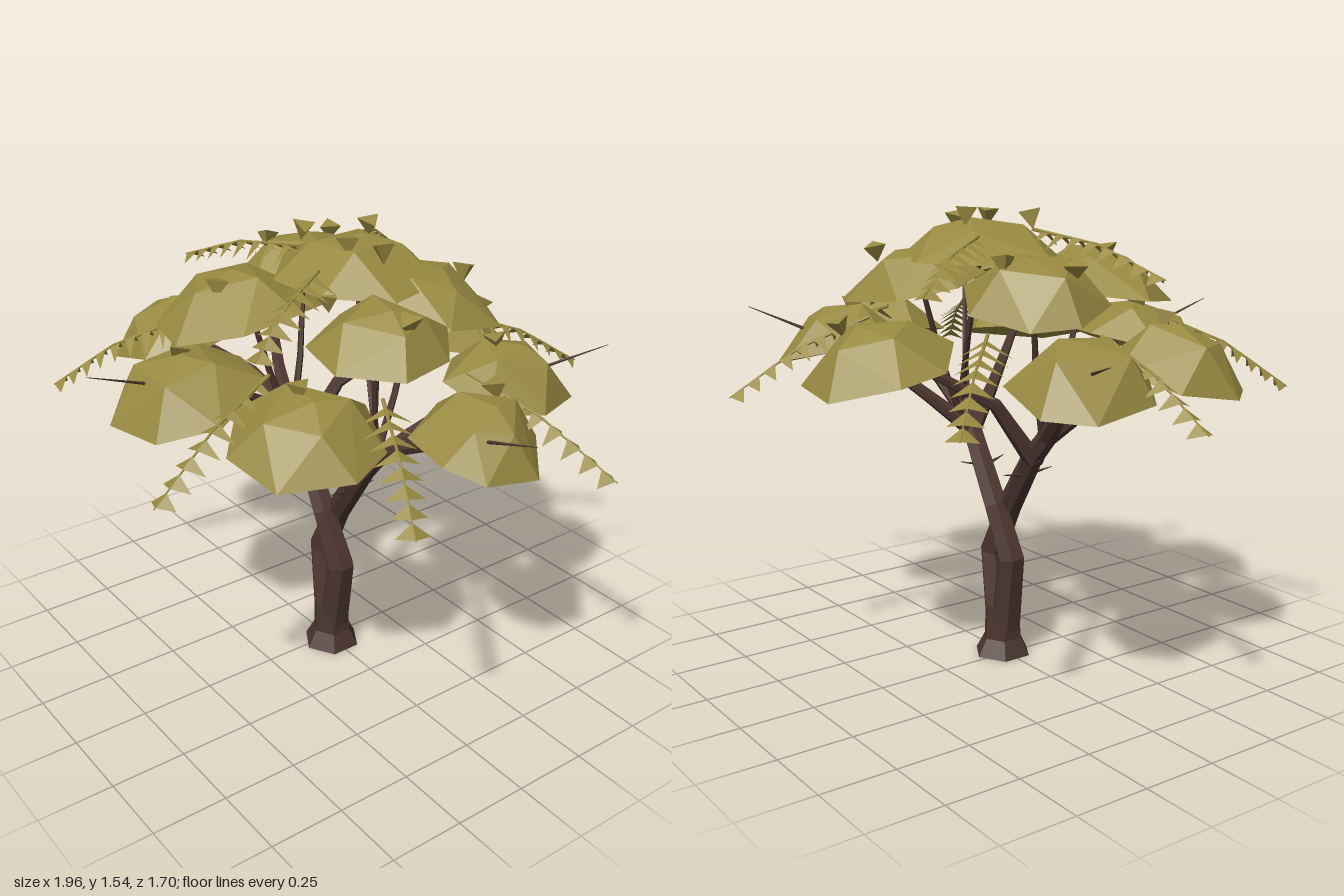
import * as THREE from 'three';
import { ConvexGeometry } from 'three/addons/geometries/ConvexGeometry.js';

const V = (x, y, z) => new THREE.Vector3(x, y, z);
const UP = V(0, 1, 0);

// Small seeded generator for irregular leaf clumps
let seed = 7;
const rand = () => (seed = (seed * 16807) % 2147483647) / 2147483647;

// Hexagonal limb with one straight piece between each pair of points, tapering from r0 to r1
function limbGeometry(points, r0, r1) {
  const curve = new THREE.CatmullRomCurve3(points.map(p => V(...p)), false, 'centripetal');
  curve.getUtoTmapping = u => u; // rings fall exactly on the points
  const segments = points.length - 1;
  const geo = new THREE.TubeGeometry(curve, segments, 1, 6, false);
  const pos = geo.attributes.position, v = new THREE.Vector3();
  for (let i = 0; i < pos.count; i++) {
    const t = Math.floor(i / 7) / segments;
    const c = curve.getPoint(t);
    v.fromBufferAttribute(pos, i).sub(c).multiplyScalar(r0 + (r1 - r0) * t).add(c);
    pos.setXYZ(i, v.x, v.y, v.z);
  }
  return geo;
}

// Faceted dome with a nearly flat underside
function domeGeometry(rx, rz, h) {
  const pts = [V(0.1 * rx, h, -0.08 * rz)];
  const ring = (n, r, y, wobble, lift) => {
    const start = rand() * 6.28;
    for (let i = 0; i < n; i++) {
      const a = start + (i + (rand() - 0.5) * 0.35) / n * Math.PI * 2;
      const k = r * (1 + (rand() - 0.5) * wobble);
      pts.push(V(Math.cos(a) * rx * k, y + (rand() - 0.5) * lift, Math.sin(a) * rz * k));
    }
  };
  ring(7, 1.07, 0, 0.08, 0.03);
  ring(4, 0.58, h * 0.82, 0.15, 0.02);
  return new ConvexGeometry(pts);
}

// Leaflet pairs along a drooping rib: long and slim inside, short and broad at the tip
function leafletGeometry(curve, count) {
  const verts = [];
  for (let i = 0; i < count; i++) {
    const t = 0.1 + 0.84 * i / (count - 1);
    const p = curve.getPointAt(t), d = curve.getTangentAt(t);
    const side = V().crossVectors(d, UP).normalize();
    const length = 0.1 - 0.045 * t, half = 0.014 + 0.014 * t;
    for (const s of [-1, 1]) {
      const a = p.clone().addScaledVector(d, -half);
      const b = p.clone().addScaledVector(d, half);
      const tip = p.clone().addScaledVector(side, s * length * 0.85).addScaledVector(d, -0.012);
      tip.y -= length * 0.55;
      verts.push(...a.toArray(), ...b.toArray(), ...tip.toArray());
    }
  }
  const geo = new THREE.BufferGeometry();
  geo.setAttribute('position', new THREE.Float32BufferAttribute(verts, 3));
  geo.computeVertexNormals();
  return geo;
}

export function createModel() {
  seed = 7;
  const tree = new THREE.Group();
  tree.name = 'tree';
  const bark = new THREE.MeshStandardMaterial({ color: 0x4b352e, flatShading: true, side: THREE.DoubleSide });
  bark.name = 'bark';
  const leaf = new THREE.MeshStandardMaterial({ color: 0x988a41, flatShading: true, side: THREE.DoubleSide });
  leaf.name = 'leaf';
  const add = (name, geo, mat) => {
    const m = new THREE.Mesh(geo, mat);
    m.name = name;
    tree.add(m);
    return m;
  };

  // Flared foot
  const foot = [[0, 0], [0.1, 0], [0.068, 0.06], [0.064, 0.18], [0, 0.18]];
  add('trunkFoot', new THREE.LatheGeometry(foot.map(p => new THREE.Vector2(...p)), 6), bark).position.x = 0.022;

  // Two stems that part, cross and fork
  add('rightwardStem', limbGeometry([[0.005, 0.1, 0], [-0.042, 0.36, -0.01], [0.03, 0.53, -0.022],
    [0.2, 0.76, 0], [0.28, 0.85, 0]], 0.054, 0.03), bark);
  add('leftwardStem', limbGeometry([[0.035, 0.1, 0], [0.09, 0.35, 0.01], [0.01, 0.53, 0.022],
    [-0.15, 0.74, 0], [-0.25, 0.84, 0]], 0.054, 0.03), bark);

  // Boughs: start, bend, end
  const boughs = [
    [[-0.22, 0.81, 0], [-0.36, 0.93, 0.06], [-0.52, 1.04, 0.2]],
    [[-0.22, 0.81, 0], [-0.36, 0.93, -0.05], [-0.55, 1.04, -0.15]],
    [[-0.15, 0.72, 0], [-0.14, 0.9, 0.12], [-0.08, 1.07, 0.4]],
    [[-0.15, 0.72, 0], [-0.13, 0.92, -0.14], [-0.04, 1.07, -0.4]],
    [[0.25, 0.82, 0], [0.4, 0.92, -0.01], [0.64, 1.03, -0.04]],
    [[0.2, 0.76, 0], [0.27, 0.88, 0.13], [0.37, 1.06, 0.3]],
    [[0.2, 0.76, 0], [0.27, 0.88, -0.13], [0.41, 1.06, -0.32]],
  ];
  for (const b of boughs) add('bough', limbGeometry(b, 0.031, 0.014), bark);

  // Slim inner twigs holding the upper layers
  const twigs = [
    [[-0.2, 0.8, 0], [-0.24, 1.0, -0.06], [-0.3, 1.28, -0.12]],
    [[-0.14, 0.85, 0.06], [-0.15, 1.0, 0.12], [-0.16, 1.28, 0.2]],
    [[0.23, 0.8, 0], [0.3, 1.0, 0.04], [0.36, 1.28, 0.08]],
    [[0.22, 0.8, -0.03], [0.2, 1.0, -0.12], [0.17, 1.28, -0.22]],
    [[0.27, 0.85, 0], [0.15, 1.1, -0.05], [0.04, 1.4, -0.07]],
  ];
  for (const t of twigs) add('innerTwig', limbGeometry(t, 0.014, 0.008), bark);

  // Leaf clumps: x, z, rim height, x radius, z radius, dome height, outward tilt
  const clumps = [
    [-0.08, 0.48, 1.05, 0.24, 0.23, 0.15, 0.27],
    [0.39, 0.36, 1.05, 0.23, 0.23, 0.15, 0.25],
    [0.68, -0.04, 1.04, 0.19, 0.19, 0.14, 0.25],
    [0.44, -0.37, 1.05, 0.19, 0.21, 0.15, 0.25],
    [-0.02, -0.5, 1.05, 0.24, 0.23, 0.15, 0.27],
    [-0.6, -0.17, 1.04, 0.2, 0.22, 0.15, 0.25],
    [-0.53, 0.26, 1.04, 0.21, 0.21, 0.15, 0.25],
    [-0.32, -0.13, 1.26, 0.23, 0.22, 0.14, 0.2],
    [-0.15, 0.26, 1.26, 0.25, 0.23, 0.14, 0.2],
    [0.38, 0.09, 1.27, 0.19, 0.22, 0.13, 0.2],
    [0.18, -0.25, 1.27, 0.24, 0.22, 0.13, 0.2],
    [0.02, -0.08, 1.37, 0.27, 0.25, 0.13, 0.05],
  ];
  for (const [x, z, y, rx, rz, h, tilt] of clumps) {
    const m = add('leafClump', domeGeometry(rx, rz, h), leaf);
    m.position.set(x, y, z);
    const out = V(x, 0, z).normalize().multiplyScalar(tilt);
    m.quaternion.setFromUnitVectors(UP, out.add(UP).normalize());
  }

  // Little sprouts set into the clumps, wide end up
  const sprouts = [
    [-0.09, 1.49, 0.03], [0.11, 1.49, 0.0], [0.2, 1.475, -0.06], [0.02, 1.5, -0.15],
    [-0.33, 1.38, -0.25], [-0.43, 1.36, -0.06], [0.17, 1.35, 0.12], [0.48, 1.36, 0.06],
    [0.27, 1.38, -0.33], [-0.09, 1.37, 0.35], [-0.45, 1.19, 0.28], [0.36, 1.19, 0.36],
    [0.1, 1.17, -0.56], [0.42, 1.19, -0.34], [0.66, 1.18, -0.12], [-0.1, 1.19, 0.5],
  ];
  const sproutGeo = new THREE.ConeGeometry(0.042, 0.06, 3);
  sprouts.forEach(([x, y, z], i) => {
    const m = add('sprout', sproutGeo, leaf);
    m.position.set(x, y, z);
    m.rotation.set(Math.PI + Math.sin(i * 2) * 0.4, i * 1.3, Math.cos(i * 3) * 0.4);
  });

  // Fronds: inner end, tip
  const fronds = [
    [[0.17, 1.19, -0.42], [0.28, 0.96, -0.86]],
    [[-0.36, 1.19, -0.33], [-0.67, 0.97, -0.64]],
    [[-0.48, 1.17, 0], [-0.97, 0.96, -0.03]],
    [[-0.34, 1.19, 0.36], [-0.6, 0.96, 0.69]],
    [[0.2, 1.19, 0.36], [0.34, 0.96, 0.84]],
    [[0.5, 1.17, 0.17], [0.91, 0.97, 0.38]],
    [[0.5, 1.17, -0.15], [0.99, 0.96, -0.3]],
    [[-0.06, 1.46, 0.06], [-0.55, 1.33, 0.19]],
    [[0.12, 1.44, 0.12], [0.28, 1.28, 0.46]],
    [[-0.1, 1.45, -0.18], [-0.28, 1.3, -0.5]],
  ];
  for (const [a, b] of fronds) {
    const mid = [(a[0] + b[0]) / 2, (a[1] + b[1]) / 2 + 0.03, (a[2] + b[2]) / 2];
    const curve = new THREE.CatmullRomCurve3([a, mid, b].map(p => V(...p)));
    add('frondRib', limbGeometry([a, mid, b], 0.006, 0.002), leaf);
    add('frondLeaflets', leafletGeometry(curve, 8), leaf);
  }

  // Bare needle twigs: inner end, tip
  const needles = [
    [[-0.6, 1.08, -0.18], [-0.86, 1.16, -0.29]],
    [[0.68, 1.07, 0.02], [0.98, 1.17, 0.03]],
    [[-0.08, 1.08, 0.48], [-0.1, 1.19, 0.8]],
    [[0.46, 1.08, -0.4], [0.63, 1.19, -0.62]],
    [[-0.1, 0.66, 0], [-0.12, 0.68, 0.1]],
    [[-0.1, 0.66, 0], [-0.12, 0.68, -0.1]],
    [[0.12, 0.65, 0], [0.14, 0.67, 0.09]],
    [[0.12, 0.65, 0], [0.14, 0.67, -0.09]],
  ];
  for (const [a, b] of needles) add('needleTwig', limbGeometry([a, b], 0.008, 0.001), bark);

  return tree;
}
